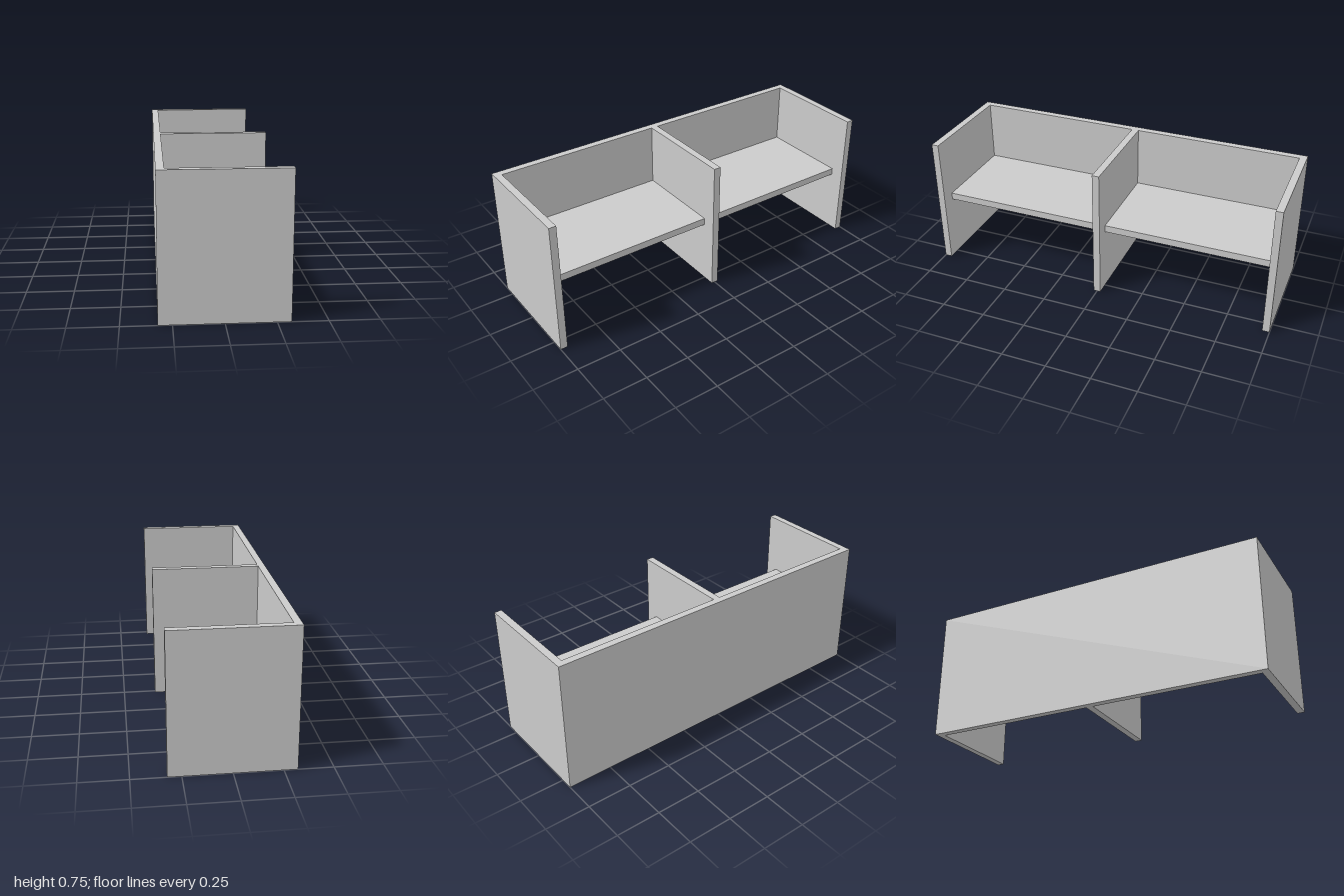
import * as THREE from 'three';

const HEIGHT = 0.75, T = 0.04;          // panel height and thickness
const BACK = -0.32, FRONT = 0.32;       // extent of the panels in x
const SHELF_FRONT = 0.24, SHELF_TOP = 0.40;

export function createModel() {
  const model = new THREE.Group();
  model.name = 'doubleDesk';
  const material = new THREE.MeshStandardMaterial({ color: 0xcccccc, flatShading: true });

  // Back wall, two end panels and the middle divider: one E-shaped footprint pulled upward
  const inner = BACK + T;
  const footprint = new THREE.Shape([
    [BACK, -1], [FRONT, -1], [FRONT, -1 + T], [inner, -1 + T],
    [inner, -T / 2], [FRONT, -T / 2], [FRONT, T / 2], [inner, T / 2],
    [inner, 1 - T], [FRONT, 1 - T], [FRONT, 1], [BACK, 1],
  ].map(([x, z]) => new THREE.Vector2(x, z)));
  const panelGeometry = new THREE.ExtrudeGeometry(footprint, { depth: HEIGHT, bevelEnabled: false });
  panelGeometry.rotateX(-Math.PI / 2);
  const panels = new THREE.Mesh(panelGeometry, material);
  panels.name = 'partitionPanels';
  model.add(panels);

  // One desktop in each bay, set back from the panel edges
  const bayLength = 1 - 1.5 * T;
  for (const side of [-1, 1]) {
    const desktop = new THREE.Mesh(
      new THREE.BoxGeometry(SHELF_FRONT - inner, T, bayLength), material);
    desktop.name = side > 0 ? 'frontDesktop' : 'backDesktop';
    desktop.position.set((SHELF_FRONT + inner) / 2, SHELF_TOP - T / 2, side * (T / 2 + bayLength / 2));
    model.add(desktop);
  }

  return model;
}
